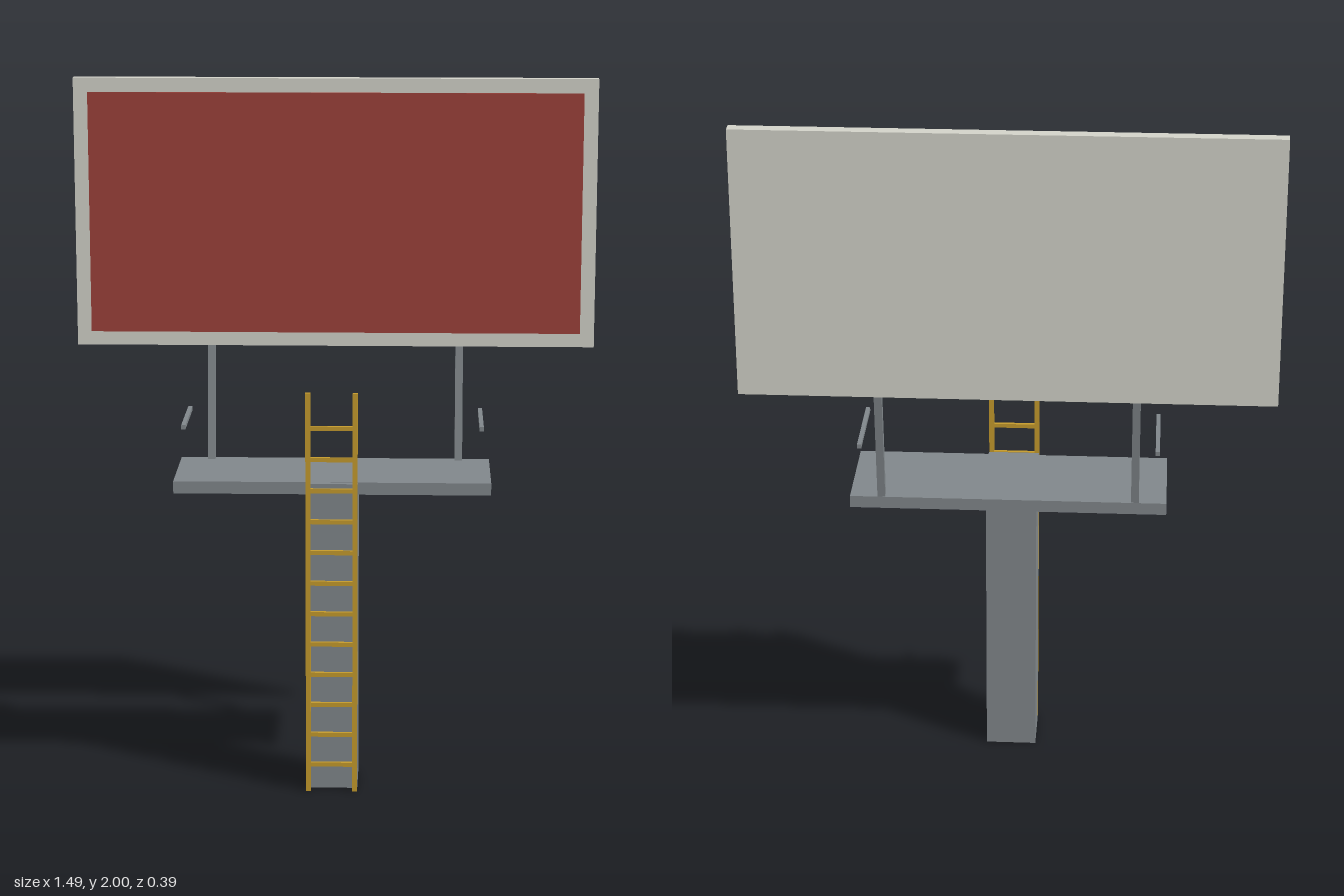
import * as THREE from 'three';

const mat = (name, color) => {
  const m = new THREE.MeshStandardMaterial({ color });
  m.name = name;
  return m;
};

export function createModel() {
  const steel = mat('greySteel', 0x80868a);
  const frame = mat('paleFrame', 0xd1d1c8);
  const red = mat('redPanel', 0x9b4039);
  const yellow = mat('ladderYellow', 0xc49a2c);

  const model = new THREE.Group();
  model.name = 'billboard';

  // Box given by its extents on each axis
  const box = (name, material, [x0, x1], [y0, y1], [z0, z1], parent = model) => {
    const mesh = new THREE.Mesh(new THREE.BoxGeometry(x1 - x0, y1 - y0, z1 - z0), material);
    mesh.position.set((x0 + x1) / 2, (y0 + y1) / 2, (z0 + z1) / 2);
    mesh.name = name;
    parent.add(mesh);
    return mesh;
  };

  // Post and walkway
  box('post', steel, [-0.073, 0.073], [0, 0.899], [0.02, 0.164]);
  box('platform', steel, [-0.447, 0.447], [0.865, 0.9], [-0.148, 0.148]);

  // Sign board with its painted face
  box('signBoard', frame, [-0.745, 0.745], [1.23, 2], [-0.195, -0.16]);
  box('signFace', red, [-0.704, 0.704], [1.27, 1.96], [-0.161, -0.154]);

  // Leaning supports and side handrails
  const low = new THREE.Vector2(-0.133, 0.885);
  const high = new THREE.Vector2(-0.178, 1.235);
  const lean = Math.atan2(high.x - low.x, high.y - low.y);
  for (const [side, s] of [['left', 1], ['right', -1]]) {
    const support = new THREE.Mesh(
      new THREE.BoxGeometry(0.022, low.distanceTo(high), 0.022), steel);
    support.position.set(s * 0.358, (low.y + high.y) / 2, (low.x + high.x) / 2);
    support.rotation.x = lean;
    support.name = side + 'Support';
    model.add(support);

    const x = s * 0.419;
    box(side + 'Handrail', steel, [x - 0.006, x + 0.006], [1.043, 1.055], [-0.135, 0.117]);
  }

  // Ladder
  const ladder = new THREE.Group();
  ladder.name = 'ladder';
  model.add(ladder);
  for (const s of [-1, 1]) {
    const x = s * 0.066;
    box('ladderRail', yellow, [x - 0.007, x + 0.007], [0, 1.165], [0.181, 0.195], ladder);
  }
  for (let i = 0; i < 12; i++) {
    const y = 0.08 + i * 0.0895;
    box('ladderRung', yellow, [-0.062, 0.062], [y - 0.006, y + 0.006], [0.183, 0.193], ladder);
  }
  return model;
}
